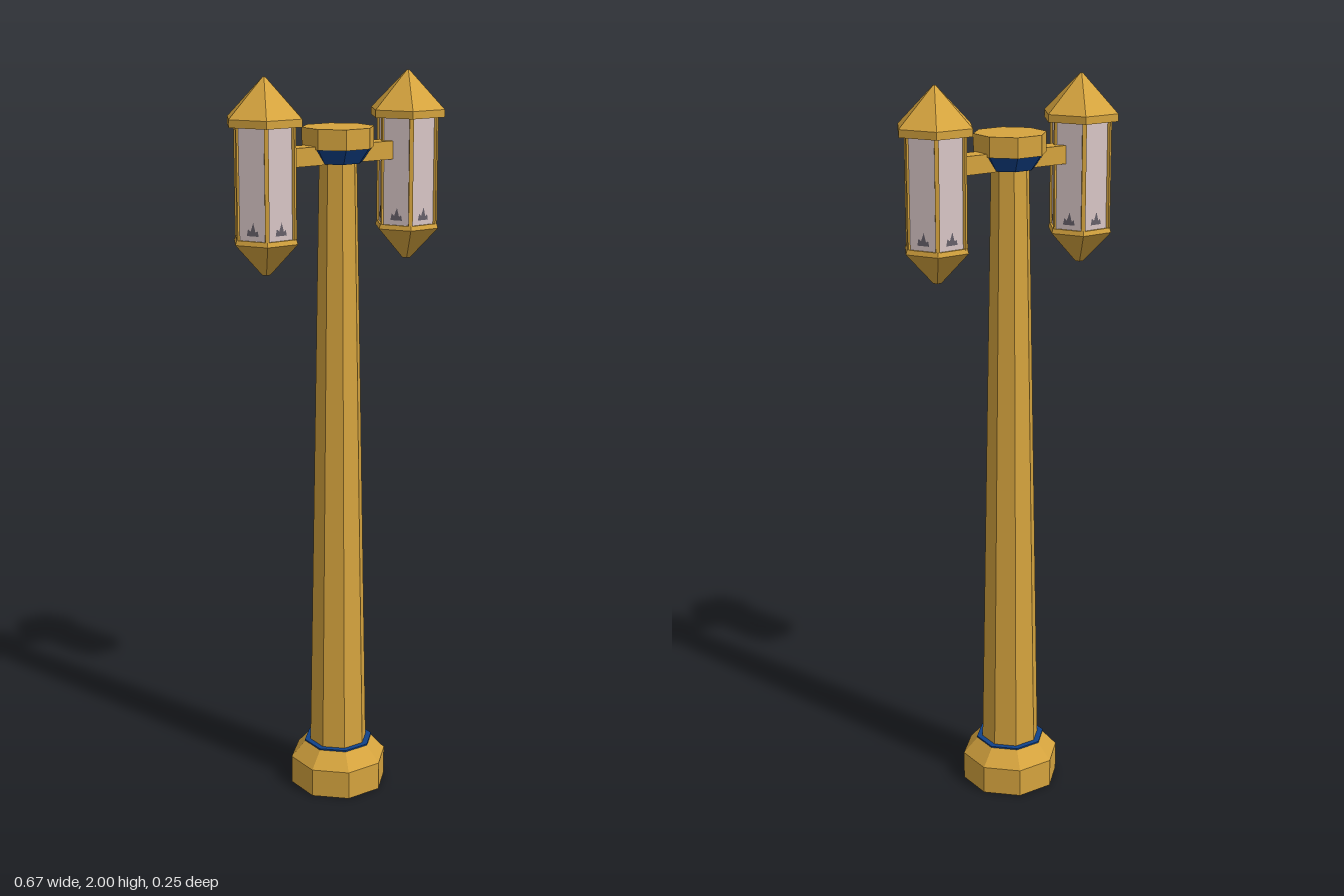
import * as THREE from 'three';

const gold = new THREE.MeshStandardMaterial({ color: 0xd6a43e });
gold.name = 'gold';
const blue = new THREE.MeshStandardMaterial({ color: 0x10428a });
blue.name = 'blue';
const glass = new THREE.MeshStandardMaterial({ color: 0xd9c6c6 });
glass.name = 'pale glass';
const soot = new THREE.MeshStandardMaterial({ color: 0x66606a });
soot.name = 'dark grey';

function add(parent, name, geometry, material, x = 0, y = 0, z = 0) {
  const mesh = new THREE.Mesh(geometry, material);
  mesh.name = name;
  mesh.position.set(x, y, z);
  parent.add(mesh);
  return mesh;
}

// Faceted frustum between two heights
function prism(sides, rBottom, rTop, y0, y1, turn) {
  const g = new THREE.CylinderGeometry(rTop, rBottom, y1 - y0, sides, 1, false, turn).toNonIndexed();
  g.translate(0, (y0 + y1) / 2, 0);
  g.computeVertexNormals();
  return g;
}

// Octagon sized by the distance to its flats, hexagon by its corners (corners on x)
const oct = (a0, a1, y0, y1) =>
  prism(8, a0 / Math.cos(Math.PI / 8), a1 / Math.cos(Math.PI / 8), y0, y1, Math.PI / 8);
const hex = (r0, r1, y0, y1) => prism(6, r0, r1, y0, y1, Math.PI / 6);

function makeLantern() {
  const lantern = new THREE.Group();
  add(lantern, 'lanternRoof', hex(0.106, 0.004, 1.9, 2.0), gold);
  add(lantern, 'roofRim', hex(0.106, 0.106, 1.88, 1.9), gold);
  add(lantern, 'lanternGlass', hex(0.082, 0.082, 1.595, 1.88), glass);
  add(lantern, 'lanternFoot', hex(0.012, 0.092, 1.5, 1.585), gold);
  add(lantern, 'footRim', hex(0.092, 0.088, 1.585, 1.597), gold);

  // Small jagged shape low on each pane
  const flame = new THREE.Shape([
    [-0.017, 0], [0.017, 0], [0.014, 0.014], [0.008, 0.01],
    [0.002, 0.034], [-0.006, 0.012], [-0.013, 0.018],
  ].map(([x, y]) => new THREE.Vector2(x, y)));
  const flameGeometry = new THREE.ShapeGeometry(flame);
  const apothem = 0.082 * Math.cos(Math.PI / 6);

  for (let i = 0; i < 6; i++) {
    const pane = new THREE.Group();
    pane.name = 'pane';
    pane.rotation.y = i * Math.PI / 3;
    add(pane, 'paneMark', flameGeometry, soot, 0, 1.61, apothem + 0.001);
    lantern.add(pane);

    // Corner posts, thinner on the outward and inward corners
    const a = Math.PI / 6 + i * Math.PI / 3;
    const w = Math.abs(Math.cos(a)) < 0.1 ? 0.006 : 0.011;
    const post = add(lantern, 'cornerPost', new THREE.BoxGeometry(w, 0.29, 0.01), gold,
      0.081 * Math.sin(a), 1.737, 0.081 * Math.cos(a));
    post.rotation.y = a;
  }
  return lantern;
}

export function createModel() {
  const model = new THREE.Group();
  model.name = 'lampPost';

  // Foot and column
  add(model, 'base', oct(0.126, 0.126, 0, 0.08), gold);
  add(model, 'baseSlope', oct(0.126, 0.088, 0.08, 0.126), gold);
  add(model, 'baseBand', oct(0.09, 0.09, 0.126, 0.13), blue);
  add(model, 'column', oct(0.075, 0.047, 0.13, 1.775), gold);

  // Head
  add(model, 'headCollar', oct(0.06, 0.086, 1.773, 1.812), blue);
  add(model, 'headCap', oct(0.089, 0.089, 1.812, 1.865), gold);

  // Mirrored arms and lanterns
  for (const side of [-1, 1]) {
    add(model, 'arm', new THREE.BoxGeometry(0.12, 0.048, 0.052), gold, side * 0.108, 1.796, 0);
    const lantern = makeLantern();
    lantern.name = side > 0 ? 'leftLantern' : 'rightLantern';
    lantern.position.x = side * 0.227;
    model.add(lantern);
  }
  return model;
}
